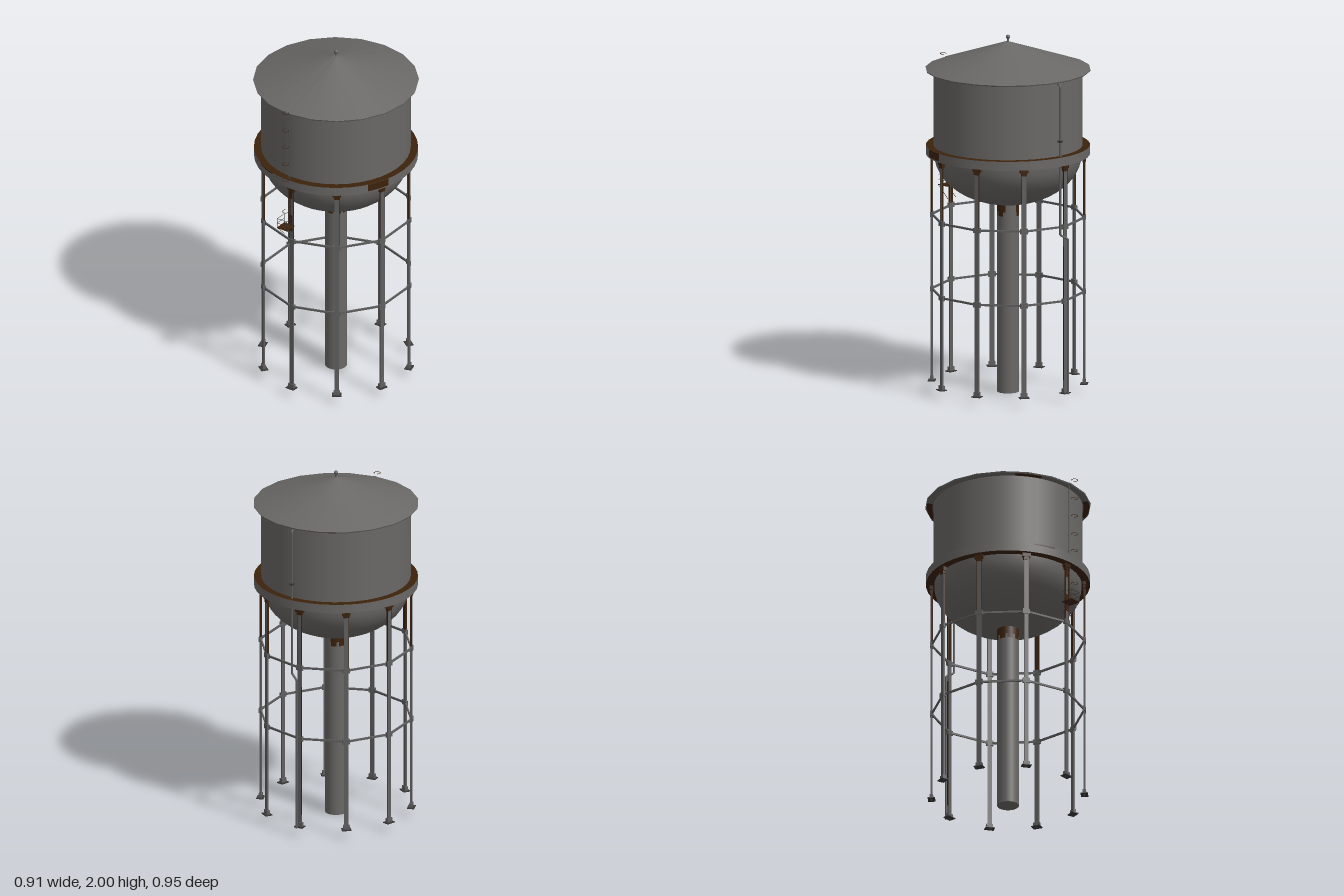
import * as THREE from 'three';

const mat = (name, color, side = THREE.FrontSide) => {
  const m = new THREE.MeshStandardMaterial({ color, side });
  m.name = name;
  return m;
};

export function createModel() {
  const steel = mat('tank steel', 0x6a6866, THREE.DoubleSide);
  const frame = mat('frame steel', 0x605f60);
  const rust = mat('rust', 0x3c220b, THREE.DoubleSide);
  const dark = mat('dark iron', 0x3a3938);

  const root = new THREE.Group();
  root.name = 'waterTower';
  // everything is built around the tank axis
  const tower = new THREE.Group();
  tower.name = 'tower';
  tower.position.z = -0.02;
  root.add(tower);

  const add = (parent, name, geo, material, x = 0, y = 0, z = 0) => {
    const m = new THREE.Mesh(geo, material);
    m.name = name;
    m.position.set(x, y, z);
    parent.add(m);
    return m;
  };
  const box = (parent, name, w, h, d, material, x, y, z) =>
    add(parent, name, new THREE.BoxGeometry(w, h, d), material, x, y, z);
  const rod = (parent, name, a, b, r, material) => {
    const p = new THREE.Vector3(...a), q = new THREE.Vector3(...b), dir = q.clone().sub(p);
    const m = add(parent, name, new THREE.CylinderGeometry(r, r, dir.length(), 6), material);
    m.position.copy(p).add(q).multiplyScalar(0.5);
    m.quaternion.setFromUnitVectors(new THREE.Vector3(0, 1, 0), dir.normalize());
    return m;
  };
  const arcPlate = (name, r, h, y, fromDeg, toDeg) =>
    add(tower, name, new THREE.CylinderGeometry(r, r, h, 16, 1, true,
      THREE.MathUtils.degToRad(fromDeg), THREE.MathUtils.degToRad(toDeg - fromDeg)), rust, 0, y, 0);

  // tank wall and bowl
  add(tower, 'tankWall', new THREE.CylinderGeometry(0.41, 0.41, 0.475, 40, 1, true), steel, 0, 1.5725, 0);
  const bowl = [];
  for (let i = 0; i <= 12; i++) {
    const t = (i / 12) * Math.PI / 2;
    bowl.push(new THREE.Vector2(0.405 * Math.sin(t), 1.335 - 0.28 * Math.cos(t)));
  }
  add(tower, 'tankBowl', new THREE.LatheGeometry(bowl, 40), steel);

  // conical roof with a thin rim and a rust-patched underside
  add(tower, 'roof', new THREE.ConeGeometry(0.455, 0.153, 20, 1, true), steel, 0, 1.8885, 0);
  add(tower, 'roofRim', new THREE.CylinderGeometry(0.455, 0.452, 0.007, 20, 1, true), steel, 0, 1.8085, 0);
  const under = add(tower, 'roofUnderside', new THREE.RingGeometry(0.40, 0.452, 20), steel, 0, 1.806, 0);
  under.rotation.x = Math.PI / 2;
  for (const [start, len] of [[0.55, 0.5], [2.0, 0.35], [3.9, 0.8], [5.4, 0.4]]) {
    const patch = add(tower, 'roofUndersideRust',
      new THREE.RingGeometry(0.415, 0.446, 6, 1, start, len), rust, 0, 1.804, 0);
    patch.rotation.x = Math.PI / 2;
  }

  // finial
  add(tower, 'finialPost', new THREE.CylinderGeometry(0.004, 0.007, 0.04, 8), frame, 0, 1.965, 0);
  add(tower, 'finialBall', new THREE.SphereGeometry(0.012, 12, 8), frame, 0, 1.988, 0);

  // ring walkway around the tank, with a rusty deck and underside
  const band = [[0.405, 1.335], [0.45, 1.335], [0.45, 1.385]];
  for (let i = 0; i < 2; i++) {
    const pts = [band[i], band[i + 1]].map(p => new THREE.Vector2(...p));
    add(tower, i ? 'walkwayBand' : 'walkwayUnderside', new THREE.LatheGeometry(pts, 40), i ? steel : rust);
  }
  const deck = add(tower, 'walkwayDeck', new THREE.RingGeometry(0.408, 0.45, 40), rust, 0, 1.385, 0);
  deck.rotation.x = -Math.PI / 2;
  arcPlate('bandRust', 0.452, 0.042, 1.365, 58, 75);
  arcPlate('bandRust', 0.452, 0.008, 1.382, -31, -15);

  // central riser pipe, rusty near the bowl except on one side
  add(tower, 'riser', new THREE.CylinderGeometry(0.06, 0.06, 1.08, 24), steel, 0, 0.54, 0);
  arcPlate('riserRust', 0.0615, 0.06, 1.045, 178, 478);
  for (let i = 0; i < 7; i++) arcPlate('riserRustDrip', 0.0615, 0.025, 1.003, 182 + i * 42, 212 + i * 42);

  // ten legs with feet, collars and rusty top brackets, joined by two rings of struts
  const N = 10, R = 0.42, step = Math.PI * 2 / N;
  for (let i = 0; i < N; i++) {
    const leg = new THREE.Group();
    leg.name = 'leg' + (i + 1);
    leg.rotation.y = i * step;
    tower.add(leg);
    box(leg, 'legPost', 0.025, 1.285, 0.009, frame, 0, 0.6925, R);
    box(leg, 'basePlate', 0.052, 0.005, 0.04, dark, 0, 0.0525, R);
    box(leg, 'baseShoe', 0.036, 0.022, 0.018, frame, 0, 0.067, R);
    box(leg, 'topBracket', 0.046, 0.022, 0.02, rust, 0, 1.324, R);
    box(leg, 'topBracketNeck', 0.032, 0.016, 0.016, rust, 0, 1.305, R);
    // rust on the narrow sides of the post
    for (const s of [-1, 1]) box(leg, 'legRustSide', 0.001, 0.3, 0.0095, rust, s * 0.0125, 1.15, R);
    if (i % 3 !== 1) box(leg, 'legRustInner', 0.02, 0.3, 0.003, rust, 0, 1.14, R - 0.005);
    for (const y of [0.568, 0.985]) {
      box(leg, 'collar', 0.04, 0.028, 0.016, frame, 0, y, R);
      const strut = box(leg, 'strut', 2 * R * Math.sin(step / 2), 0.011, 0.008, frame, 0, y, 0);
      const d = R * Math.cos(step / 2);
      strut.position.set(Math.sin(step / 2) * d, y, Math.cos(step / 2) * d);
      strut.rotation.y = step / 2;
    }
  }
  // the leg behind the platform is rusty on its outer face, the rear one on its lower sides
  box(tower, 'frontLegRust', 0.02, 0.1, 0.002, rust, 0, 1.1, R + 0.005);
  box(tower, 'frontLegRust', 0.02, 0.06, 0.002, rust, 0, 1.285, R + 0.005);
  for (const s of [-1, 1]) box(tower, 'rearLegRust', 0.001, 0.75, 0.0095, rust, s * 0.0125, 0.5, -R);

  // flat walking strip up the roof
  const roofStrip = new THREE.Group();
  roofStrip.name = 'roofStrip';
  roofStrip.position.set(0, 1.9655, 0);
  roofStrip.rotation.x = Math.atan2(0.153, 0.455);
  tower.add(roofStrip);
  box(roofStrip, 'strip', 0.019, 0.002, 0.475, steel, 0, 0, 0.2375);

  // slim ladder down the wall, rusty below the walkway, with safety hoops
  const ladder = new THREE.Group();
  ladder.name = 'ladder';
  tower.add(ladder);
  for (const [bottom, top, material] of [[1.385, 1.81, frame], [1.09, 1.335, rust]]) {
    for (const s of [-1, 1]) box(ladder, 'rail', 0.002, top - bottom, 0.002, material, s * 0.006, (top + bottom) / 2, 0.437);
    for (let y = bottom + 0.02; y < top; y += 0.05) box(ladder, 'rung', 0.012, 0.002, 0.002, material, 0, y, 0.437);
  }
  for (const y of [1.825, 1.715, 1.61, 1.5, 1.4, 1.2]) {
    const hoop = add(ladder, 'cageHoop', new THREE.TorusGeometry(0.018, 0.0015, 4, 14, Math.PI * 1.6), rust, 0, y, 0.477);
    hoop.rotation.set(Math.PI / 2, 0, -Math.PI * 0.3);
  }

  // small service platform with railings
  const platform = new THREE.Group();
  platform.name = 'platform';
  platform.position.x = -0.012;
  tower.add(platform);
  box(platform, 'platformFloor', 0.066, 0.004, 0.07, rust, 0, 1.09, 0.46);
  for (const s of [-1, 1]) {
    const x = s * 0.032;
    rod(platform, 'brace', [x, 1.09, 0.494], [x, 1.02, 0.425], 0.0015, dark);
    for (const z of [0.428, 0.494]) rod(platform, 'post', [x, 1.09, z], [x, 1.148, z], 0.0012, dark);
    for (const y of [1.12, 1.148]) rod(platform, 'sideRail', [x, y, 0.428], [x, y, 0.494], 0.0012, dark);
  }
  for (const y of [1.12, 1.148]) rod(platform, 'frontRail', [-0.032, y, 0.494], [0.032, y, 0.494], 0.0012, dark);

  // overflow pipe down the back, stepping sideways behind the rear leg
  const path = new THREE.CurvePath();
  const pts = [[0.045, 1.79, -0.405], [0.045, 1.79, -0.418], [0.045, 1.78, -0.425],
    [0.045, 0.945, -0.425], [0.005, 0.92, -0.446], [0.005, 0.05, -0.446]].map(p => new THREE.Vector3(...p));
  for (let i = 1; i < pts.length; i++) path.add(new THREE.LineCurve3(pts[i - 1], pts[i]));
  add(tower, 'overflowPipe', new THREE.TubeGeometry(path, 160, 0.0065, 8), frame);
  box(tower, 'pipeClamp', 0.018, 0.01, 0.024, dark, 0.045, 1.47, -0.425);

  return root;
}
